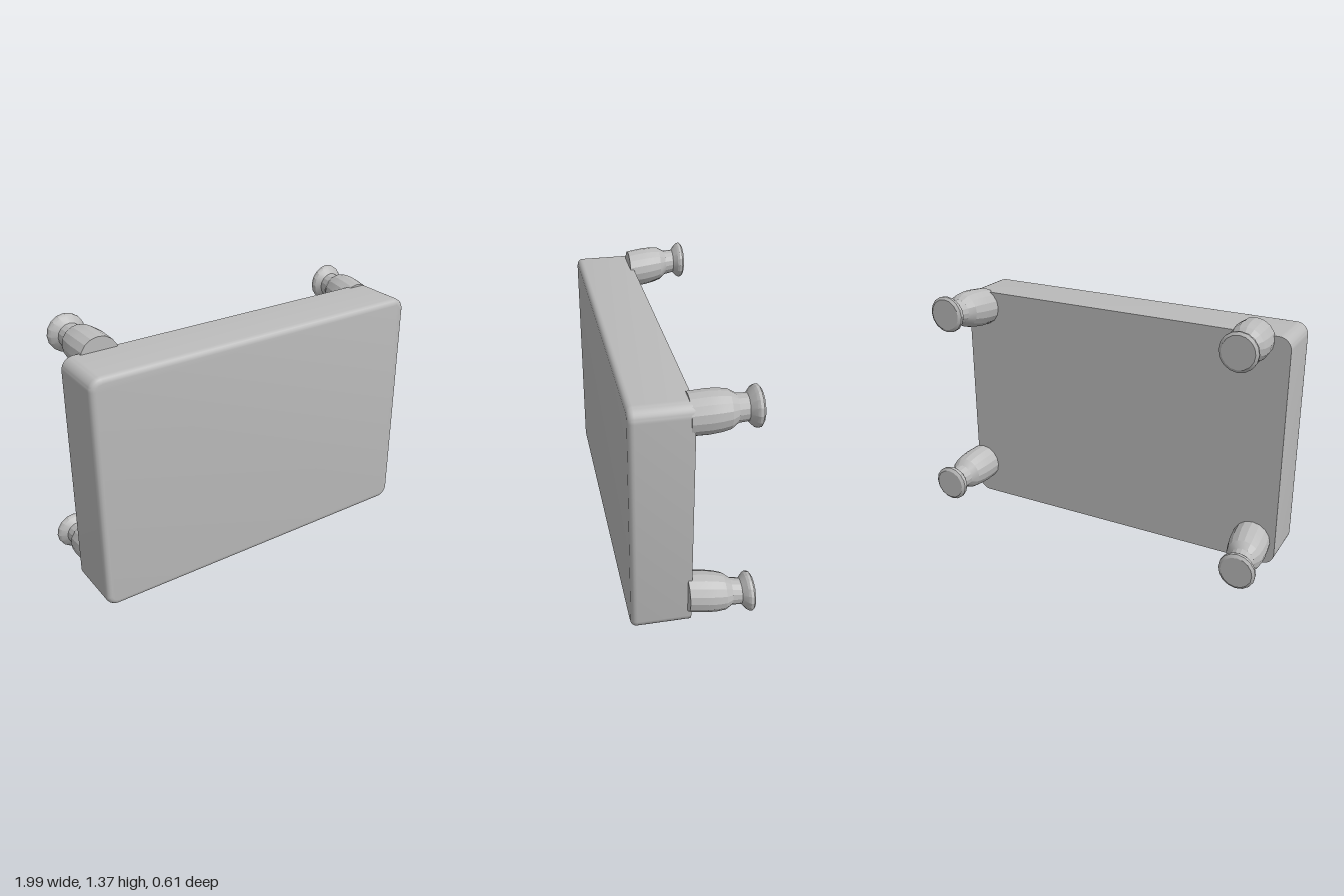
import * as THREE from 'three';
import { toCreasedNormals } from 'three/addons/utils/BufferGeometryUtils.js';

const grey = new THREE.MeshStandardMaterial({ color: 0xbbbbbb });
grey.name = 'plain grey';

// Rounded rectangle outline
function roundedRect(x0, y0, x1, y1, r) {
  const s = new THREE.Shape();
  s.absarc(x1 - r, y0 + r, r, -Math.PI / 2, 0);
  s.absarc(x1 - r, y1 - r, r, 0, Math.PI / 2);
  s.absarc(x0 + r, y1 - r, r, Math.PI / 2, Math.PI);
  s.absarc(x0 + r, y0 + r, r, Math.PI, Math.PI * 1.5);
  return s;
}

// Slab with rounded corners, a soft front edge and a sharp, flat back
function makeSlab() {
  const b = 0.03;
  const geo = new THREE.ExtrudeGeometry(roundedRect(-1 + b, 0.005 + b, 0.9 - b, 1.28 - b, 0.035), {
    depth: 0.305 - b, bevelEnabled: true, bevelThickness: b, bevelSize: b, bevelSegments: 4, curveSegments: 6,
  });
  // flatten the rear bevel into the back face
  const p = geo.attributes.position;
  for (let i = 0; i < p.count; i++) p.setZ(i, Math.max(0, p.getZ(i)));
  const mesh = new THREE.Mesh(toCreasedNormals(geo, Math.PI / 5), grey);
  mesh.name = 'slab';
  return mesh;
}

// Foot profile: radius, distance behind the slab
const profile = [
  [0, -0.02], [0.103, -0.02], [0.106, 0.07], [0.102, 0.12], [0.093, 0.165], [0.069, 0.2],
  [0.066, 0.248], [0.093, 0.272], [0.1, 0.284], [0.1, 0.298], [0.085, 0.309], [0, 0.309],
].map(([r, d]) => new THREE.Vector2(r, d));

// Turned foot that leans outward while its ends stay parallel to the slab
function makeFoot(name, x, y, sx, sy) {
  let geo = new THREE.LatheGeometry(profile, 16);
  geo.rotateX(-Math.PI / 2);
  const p = geo.attributes.position;
  for (let i = 0; i < p.count; i++) {
    const t = (0.02 - p.getZ(i)) / 0.33;
    p.setX(i, p.getX(i) + sx * 0.032 * t);
    p.setY(i, p.getY(i) + sy * 0.027 * t);
  }
  geo = toCreasedNormals(geo, Math.PI / 10);
  const mesh = new THREE.Mesh(geo, grey);
  mesh.name = name;
  mesh.position.set(x, y, 0);
  return mesh;
}

export function createModel() {
  const model = new THREE.Group();
  model.name = 'footedSlab';
  model.add(makeSlab());
  const feet = [
    ['upperRightFoot', -0.808, 1.25, -1, 1],
    ['upperLeftFoot', 0.805, 1.19, 1, 1],
    ['lowerLeftFoot', 0.863, 0.195, 1, -1],
    ['lowerRightFoot', -0.868, 0.135, -1, -1],
  ];
  for (const f of feet) model.add(makeFoot(...f));
  return model;
}
